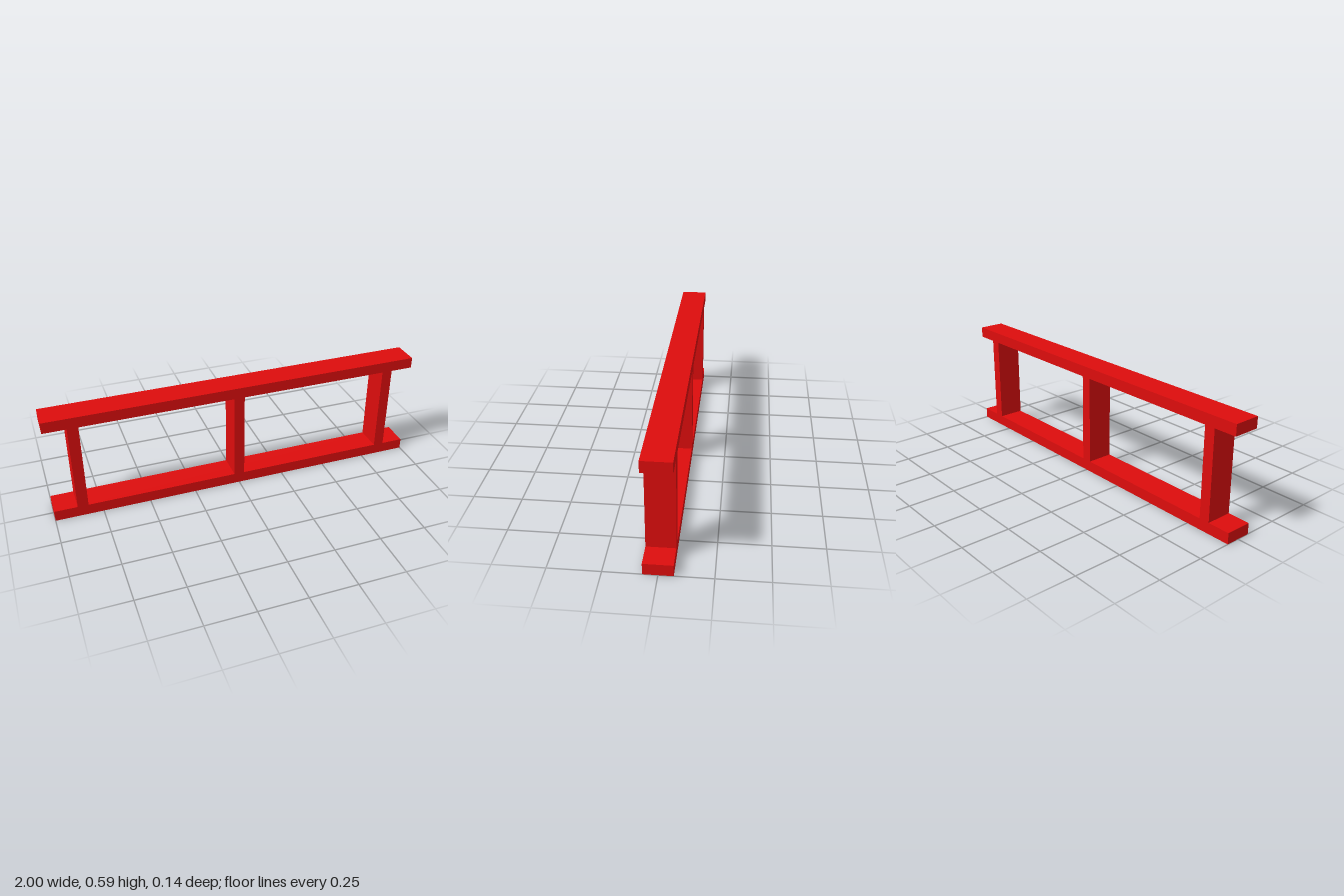
import * as THREE from 'three';

export function createModel() {
  const model = new THREE.Group();
  model.name = 'ladderFrame';
  const red = new THREE.MeshStandardMaterial({ color: 0xdd0d0d });

  const height = 0.588, depth = 0.14, bar = 0.058;

  function addBar(name, width, tall, x, y) {
    const mesh = new THREE.Mesh(new THREE.BoxGeometry(width, tall, depth), red);
    mesh.name = name;
    mesh.position.set(x, y, 0);
    model.add(mesh);
  }

  // Long horizontal rails
  addBar('bottomRail', 2, bar, 0, bar / 2);
  addBar('topRail', 2, bar, 0, height - bar / 2);

  // Uprights fitted between the rails
  const uprights = { rightUpright: -0.853, middleUpright: 0, leftUpright: 0.853 };
  for (const [name, x] of Object.entries(uprights)) {
    addBar(name, 0.056, height - 2 * bar, x, height / 2);
  }

  return model;
}
